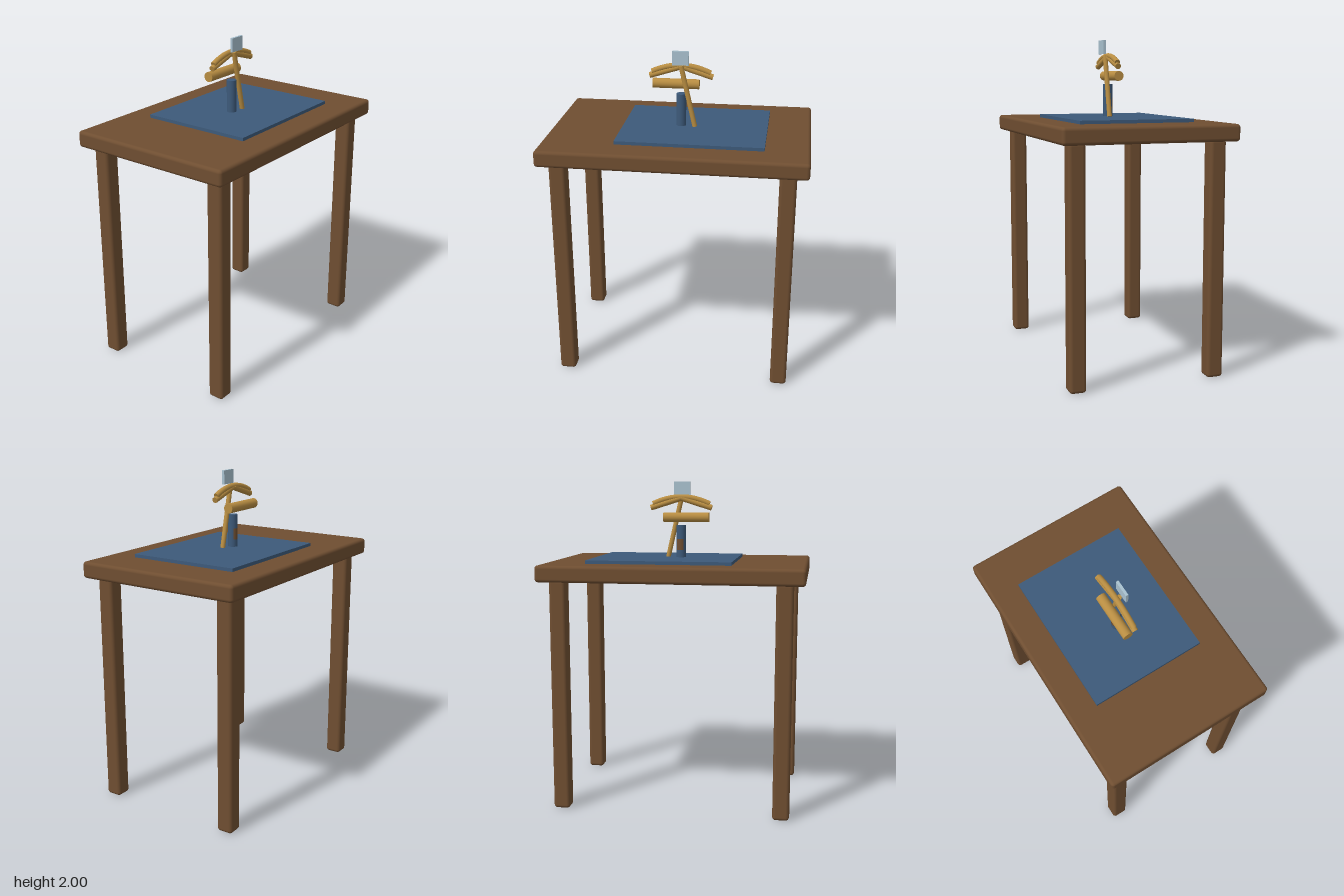
import * as THREE from 'three';
import { RoundedBoxGeometry } from 'three/addons/geometries/RoundedBoxGeometry.js';

const mat = (name, color) => {
  const m = new THREE.MeshStandardMaterial({ color });
  m.name = name;
  return m;
};

export function createModel() {
  const model = new THREE.Group();
  const wood = mat('brown wood', 0x6f4e31);
  const blue = mat('slate blue', 0x3d5a7a);
  const gold = mat('ochre', 0xb88d42);
  const pale = mat('pale blue', 0xa9c1cf);

  const add = (name, geometry, material, x = 0, y = 0, z = 0) => {
    const mesh = new THREE.Mesh(geometry, material);
    mesh.name = name;
    mesh.position.set(x, y, z);
    model.add(mesh);
    return mesh;
  };

  // Straight round rod between two points
  const rod = (name, a, b, radius, material) => {
    const from = new THREE.Vector3(...a), to = new THREE.Vector3(...b);
    const dir = to.clone().sub(from);
    const mesh = add(name, new THREE.CylinderGeometry(radius, radius, dir.length(), 24), material);
    mesh.position.copy(from).add(to).multiplyScalar(0.5);
    mesh.quaternion.setFromUnitVectors(new THREE.Vector3(0, 1, 0), dir.normalize());
    return mesh;
  };

  // Table
  add('tableTop', new RoundedBoxGeometry(1.59, 0.1, 1.06, 3, 0.02), wood, 0, 1.46, 0);
  for (const sx of [-1, 1]) for (const sz of [-1, 1]) {
    add('tableLeg', new RoundedBoxGeometry(0.1, 1.42, 0.1, 3, 0.02), wood, sx * 0.675, 0.71, sz * 0.425);
  }

  // Mat lying off centre on the table
  add('mat', new THREE.BoxGeometry(0.885, 0.02, 0.705), blue, 0.0875, 1.52, -0.0025);

  // Upright post with a small wooden patch on its rear
  add('post', new THREE.CylinderGeometry(0.03, 0.03, 0.2, 24), blue, 0, 1.63, 0);
  add('postPatch', new THREE.CylinderGeometry(0.0305, 0.0305, 0.07, 12, 1, true, 2.3, 1.5), wood, 0, 1.61, 0);

  // Horizontal roller and leaning stick
  rod('roller', [-0.18, 1.78, -0.037], [0.105, 1.78, -0.037], 0.03, gold);
  rod('leaningStick', [0, 1.905, 0.018], [0.085, 1.53, 0.018], 0.015, gold);

  // Curved bow over two straight arms, with end caps
  const bow = new THREE.QuadraticBezierCurve3(
    new THREE.Vector3(-0.178, 1.862, 0), new THREE.Vector3(0, 1.946, 0), new THREE.Vector3(0.178, 1.862, 0));
  add('bow', new THREE.TubeGeometry(bow, 28, 0.017, 14), gold);
  for (const s of [-1, 1]) {
    const cap = add('bowEnd', new THREE.CircleGeometry(0.017, 14), gold, s * 0.178, 1.862, 0);
    cap.lookAt(s * 1.178, 1.862 - 0.084 / 0.178, 0);
    rod('bowArm', [0, 1.898, 0], [s * 0.192, 1.838, 0], 0.018, gold);
  }

  // Small upright plate above the bow
  add('plate', new THREE.BoxGeometry(0.1, 0.085, 0.016), pale, 0, 1.9575, 0.037);

  return model;
}
